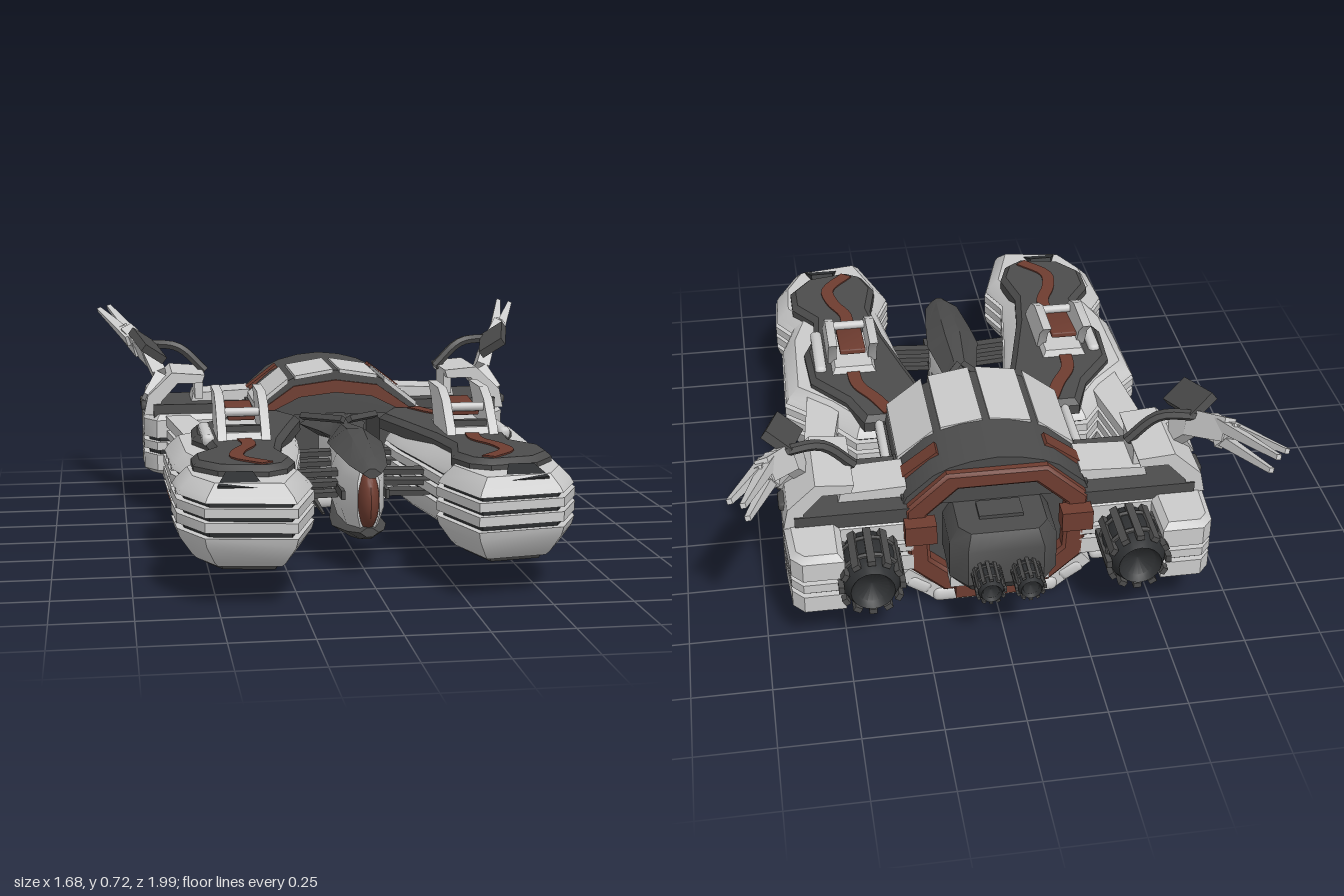
import * as THREE from 'three';
import { toCreasedNormals } from 'three/addons/utils/BufferGeometryUtils.js';
import { RoundedBoxGeometry } from 'three/addons/geometries/RoundedBoxGeometry.js';

const V = (x, y, z) => new THREE.Vector3(x, y, z);
const LIGHT = 0xcccccc, DARK = 0x4c4c4c, RUST = 0x6e3c30, BLACK = 0x2e3032;
const mats = {};
const mat = c => (mats[c] ??= new THREE.MeshStandardMaterial({ color: c, side: THREE.DoubleSide }));

// mirrored copy with corrected winding
function flipX(geo) {
  const g = geo.clone().scale(-1, 1, 1);
  for (const a of Object.values(g.attributes)) {
    const n = a.itemSize, s = a.array;
    for (let i = 0; i < a.count; i += 3) for (let k = 0; k < n; k++) {
      const p = (i + 1) * n + k, q = (i + 2) * n + k;
      [s[p], s[q]] = [s[q], s[p]];
    }
  }
  return g;
}

// closed skin through rings of points; tris closes both ends
function loft(rings, tris) {
  const pos = [], n = rings[0].length, put = (...p) => p.forEach(v => pos.push(v.x, v.y, v.z));
  for (let k = 0; k + 1 < rings.length; k++) for (let i = 0; i < n; i++) {
    const j = (i + 1) % n, [A, B, C, D] = [rings[k][i], rings[k][j], rings[k + 1][i], rings[k + 1][j]];
    put(A, C, B, B, C, D);
  }
  const first = rings[0], last = rings[rings.length - 1];
  tris.forEach(([a, b, c]) => { put(first[a], first[b], first[c]); put(last[a], last[c], last[b]); });
  const g = new THREE.BufferGeometry();
  g.setAttribute('position', new THREE.Float32BufferAttribute(pos, 3));
  return g;
}
function ccw(pts) {
  const p = pts.map(q => new THREE.Vector2(...q));
  return THREE.ShapeUtils.isClockWise(p) ? p.reverse() : p;
}
// plan outline [x, z] raised through levels [y, inset]
function plan(pts, levels) {
  const p = ccw(pts), n = p.length;
  const normal = (a, b) => new THREE.Vector2(b.y - a.y, a.x - b.x).normalize();
  const miter = p.map((q, i) => {
    const a = normal(p[(i + n - 1) % n], q), b = normal(q, p[(i + 1) % n]);
    return a.clone().add(b).divideScalar(1 + a.dot(b));
  });
  const rings = levels.map(([y, d]) => p.map((q, i) => V(q.x - miter[i].x * d, y, q.y - miter[i].y * d)));
  return loft(rings, THREE.ShapeUtils.triangulateShape(p, []));
}
// section [x, y] run from zFront back to zBack
function prism(pts, zFront, zBack) {
  const p = ccw(pts);
  return loft([zFront, zBack].map(z => p.map(q => V(q.x, q.y, z))), THREE.ShapeUtils.triangulateShape(p, []));
}
// six-sided hull through stations [z, half width, top, bottom], front to back
function hull(stations) {
  const rings = stations.map(([z, w, t, b]) => [[w * 0.3, b], [w, (t + b) / 2], [w * 0.3, t], [-w * 0.3, t], [-w, (t + b) / 2], [-w * 0.3, b]]
    .map(([x, y]) => V(x, y, z)));
  return loft(rings, [[0, 1, 2], [0, 2, 3], [0, 3, 5], [3, 4, 5]]);
}
const box = (w, h, d, x, y, z) => new THREE.BoxGeometry(w, h, d).translate(x, y, z);
const soft = (w, h, d, x, y, z, r = 0.015) => new RoundedBoxGeometry(w, h, d, 2, r).translate(x, y, z);
// tapering bar between two points
function beam(a, b, w, h, taper = 1) {
  const g = new THREE.CylinderGeometry(Math.SQRT1_2 * taper, Math.SQRT1_2, 1, 4).rotateY(Math.PI / 4);
  g.scale(w, a.distanceTo(b), h);
  const q = new THREE.Quaternion().setFromUnitVectors(V(0, 1, 0), b.clone().sub(a).normalize());
  return g.applyQuaternion(q).translate((a.x + b.x) / 2, (a.y + b.y) / 2, (a.z + b.z) / 2);
}
// flat stripe following plan points [x, z]
function stripe(pts, width, y0, y1) {
  const curve = new THREE.CatmullRomCurve3(pts.map(([x, z]) => V(x, 0, z))), L = [], R = [];
  for (let i = 0; i <= 16; i++) {
    const p = curve.getPoint(i / 16), t = curve.getTangent(i / 16).multiplyScalar(width / 2);
    L.push([p.x - t.z, p.z + t.x]); R.unshift([p.x + t.z, p.z - t.x]);
  }
  return plan([...L, ...R], [[y0, 0], [y1, 0]]);
}

export function createModel() {
  const root = new THREE.Group();
  const add = (name, geo, color = LIGHT, pair = false) => {
    const g = geo.index ? geo.toNonIndexed() : geo;
    (pair ? [g, flipX(g)] : [g]).forEach((q, i) => {
      const m = new THREE.Mesh(toCreasedNormals(q, 0.6), mat(color));
      m.name = pair ? (i ? 'right ' : 'left ') + name : name;
      root.add(m);
    });
  };
  const both = (name, geo, color) => add(name, geo, color, true);

  // side pods: light armour slabs around a dark core
  const pod = [[0.27, 0.995], [0.54, 0.95], [0.615, 0.8], [0.625, 0.63], [0.575, 0.55], [0.615, 0.42], [0.625, 0.08],
    [0.5, -0.04], [0.4, -0.18], [0.2, -0.18], [0.15, 0], [0.165, 0.16], [0.2, 0.38], [0.235, 0.63], [0.19, 0.74]];
  both('podCore', plan(pod, [[0.14, 0.05], [0.2, 0.022], [0.34, 0.022], [0.37, 0.05]]), BLACK);
  both('podKeel', plan(pod, [[0.115, 0.085], [0.14, 0.07]]), DARK);
  for (const slab of [[[0.13, 0.06], [0.145, 0.045], [0.2, 0.008], [0.228, 0]], [[0.245, 0], [0.275, 0]], [[0.29, 0], [0.318, 0]],
    [[0.332, 0.004], [0.35, 0.015], [0.385, 0.05]]]) both('podArmour', plan(pod, slab));
  for (const [x, z, d] of [[0.607, 0.71, 0.05], [0.605, 0.36, 0.03], [0.608, 0.26, 0.03], [0.61, 0.14, 0.05]])
    both('podRib', box(0.015, 0.12, d, x, 0.275, z));
  both('podSidePanel', plan([[0.56, 0.53], [0.582, 0.53], [0.612, 0.42], [0.62, 0.12], [0.58, 0.12]], [[0.158, 0.016], [0.2, 0.002]]), RUST);
  both('podNoseHatch', plan([[0.36, 0.94], [0.5, 0.92], [0.47, 0.84], [0.39, 0.84]], [[-0.005, 0], [0.012, 0]])
    .translate(0, 0, -0.89).rotateX(0.35).translate(0, 0.378, 0.89), BLACK);

  // dark pod decks with rust stripes
  const deck = [[0.28, 0.8], [0.34, 0.84], [0.49, 0.81], [0.56, 0.72], [0.56, 0.6], [0.49, 0.5], [0.5, 0.38], [0.54, 0.28],
    [0.53, 0.09], [0.42, -0.05], [0.37, -0.18], [0.2, -0.18], [0.14, -0.05], [0.19, 0.14], [0.25, 0.38], [0.275, 0.55], [0.245, 0.7]];
  both('podDeck', plan(deck, [[0.365, 0], [0.4, 0], [0.418, 0.02]]), DARK);
  both('podFrontStripe', stripe([[0.34, 0.8], [0.42, 0.7], [0.41, 0.6], [0.37, 0.5], [0.38, 0.36]], 0.045, 0.4, 0.423), RUST);
  both('podRearStripe', stripe([[0.38, 0.16], [0.37, 0.03], [0.32, -0.06], [0.28, -0.15]], 0.045, 0.4, 0.423), RUST);

  // swept intake on each pod: two fins with a rust panel between
  const fin = new THREE.Shape([[0.42, 0.41], [0.4, 0.44], [0.32, 0.52], [0.25, 0.552], [0.08, 0.552], [0.14, 0.5], [0.19, 0.41]]
    .map(([z, y]) => new THREE.Vector2(-z, y)));
  for (const x of [0.29, 0.432]) both('intakeFin',
    new THREE.ExtrudeGeometry(fin, { depth: 0.03, bevelEnabled: false }).rotateY(Math.PI / 2).translate(x, 0, 0));
  both('intakePanel', soft(0.09, 0.02, 0.18, 0, 0, 0, 0.006).rotateX(0.12).translate(0.376, 0.485, 0.215), RUST);
  both('intakeHousing', plan([[0.31, 0.39], [0.44, 0.39], [0.44, 0.12], [0.31, 0.12]], [[0.4, -0.02], [0.44, 0]]));
  both('intakeVisor', soft(0.13, 0.03, 0.03, 0.376, 0.495, 0.31));
  both('intakeSlot', box(0.11, 0.02, 0.03, 0.376, 0.45, 0.36), DARK);
  both('intakeRail', soft(0.04, 0.04, 0.26, 0.49, 0.415, 0.26));

  // links from pods to the stern
  both('podNeck', box(0.17, 0.22, 0.4, 0.235, 0.28, -0.3), DARK);
  both('podNeckRail', soft(0.03, 0.05, 0.3, 0.32, 0.38, -0.28));
  const link = [[0.43, 0.04], [0.545, 0.08], [0.6, -0.42], [0.515, -0.42]];
  both('linkCore', plan(link, [[0.18, 0.012], [0.35, 0.012]]), BLACK);
  for (const [a, b] of [[0.17, 0.228], [0.245, 0.275], [0.29, 0.318], [0.332, 0.37]])
    both('linkSlab', plan(link, [[a, 0], [b, 0]]));

  // central prow: dark upper and lower hulls around a light spindle
  add('prowTop', hull([[0.67, 0.03, 0.365, 0.335], [0.6, 0.06, 0.39, 0.335], [0.42, 0.082, 0.415, 0.335], [0.3, 0.092, 0.43, 0.335],
    [0.1, 0.055, 0.41, 0.33], [-0.02, 0.08, 0.405, 0.33], [-0.25, 0.12, 0.405, 0.3]]), DARK);
  add('prowBottom', hull([[0.62, 0.03, 0.165, 0.135], [0.54, 0.06, 0.165, 0.11], [0.4, 0.09, 0.165, 0.085], [0.3, 0.085, 0.17, 0.09],
    [0.1, 0.05, 0.18, 0.12], [-0.25, 0.08, 0.2, 0.13]]), DARK);
  const spindle = [[0.035, 0.6], [0.07, 0.48], [0.08, 0.32], [0.05, 0.1], [0.05, -0.25]];
  add('prowSpindle', plan([...spindle, ...spindle.map(([x, z]) => [-x, z]).reverse()], [[0.14, 0.02], [0.2, 0], [0.31, 0], [0.36, 0.02]]));
  both('spindleGroove', box(0.012, 0.03, 0.34, 0.072, 0.255, 0.37), DARK);
  add('prowNose', new THREE.SphereGeometry(1, 20, 12).scale(0.038, 0.1, 0.09).translate(0, 0.25, 0.565), RUST);
  for (const z of [0.42, 0.08]) for (const y of [0.235, 0.27, 0.305])
    both('prowStrut', beam(V(0.04, y, z - 0.02), V(0.23, y, z), 0.018, 0.04), DARK);
  both('prowBrace', beam(V(0.13, 0.41, -0.08), V(0.01, 0.425, 0.1), 0.02, 0.02), DARK);
  both('lowerBrace', beam(V(0.1, 0.06, -0.4), V(0.02, 0.14, -0.1), 0.02, 0.02), DARK);
  both('probe', beam(V(0.07, 0.075, -0.42), V(0.07, 0.082, 0.04), 0.022, 0.02, 0.4), DARK);

  // arched command section
  const rise = [[0.3, 0.4], [0.285, 0.435], [0.2, 0.51], [0.15, 0.534], [0.08, 0.552]];
  add('archRoof', prism([...rise, [0, 0.56], ...rise.map(([x, y]) => [-x, y]).reverse()], -0.16, -0.66), DARK);
  add('archFrontTrim', prism([[0.27, 0.42], [0.15, 0.505], [0, 0.525], [-0.15, 0.505], [-0.27, 0.42],
    [-0.22, 0.42], [-0.13, 0.465], [0, 0.48], [0.13, 0.465], [0.22, 0.42]], -0.15, -0.2), RUST);
  const pane = (a, b, t) => prism([a, b, [b[0], b[1] + t], [a[0], a[1] + t]], -0.14, -0.45);
  both('roofWindow', pane([0.012, 0.552], [0.148, 0.53], 0.014));
  both('sideWindow', pane([0.172, 0.518], [0.29, 0.425], 0.018));
  both('roofMarker', beam(V(0.17, 0.524, -0.54), V(0.28, 0.44, -0.54), 0.025, 0.06), RUST);
  add('coreHull', prism([[0.2, 0.09], [0.28, 0.16], [0.3, 0.42], [-0.3, 0.42], [-0.28, 0.16], [-0.2, 0.09]], -0.4, -0.64), DARK);

  // keel cradle
  add('keel', soft(0.42, 0.062, 0.29, 0, 0.033, -0.53, 0.025));
  both('keelArm', beam(V(0.19, 0.04, -0.53), V(0.3, 0.13, -0.53), 0.05, 0.27));
  both('keelFoot', soft(0.09, 0.055, 0.28, 0, 0, 0, 0.02).rotateZ(0.6).translate(0.25, 0.08, -0.53));

  // rust ring around the stern
  const ringPts = k => [[0.17, 0.07], [0.28, 0.17], [0.29, 0.4], [0.16, 0.52], [-0.16, 0.52], [-0.29, 0.4], [-0.28, 0.17], [-0.17, 0.07]]
    .map(([x, y]) => new THREE.Vector2(x * k, 0.3 + (y - 0.3) * k));
  const ring = new THREE.Shape(ringPts(0.98));
  ring.holes.push(new THREE.Path(ringPts(0.8)));
  add('sternRing', new THREE.ExtrudeGeometry(ring, { depth: 0.05, bevelSize: 0.01, bevelThickness: 0.01, bevelSegments: 1 })
    .translate(0, 0, -0.68), RUST);
  both('ringBlock', box(0.1, 0.07, 0.06, 0.25, 0.338, -0.71), RUST);
  add('ringFoot', box(0.28, 0.06, 0.05, 0, 0.1, -0.71), RUST);
  add('sternBlock', plan([[0.17, -0.62], [0.17, -0.8], [0.12, -0.86], [-0.12, -0.86], [-0.17, -0.8], [-0.17, -0.62]],
    [[0.17, 0.04], [0.22, 0], [0.35, 0], [0.4, 0.03]]), DARK);
  add('sternHatch', box(0.14, 0.02, 0.08, 0, 0.402, -0.72), DARK);
  add('sternSill', box(0.32, 0.04, 0.1, 0, 0.15, -0.7));

  // engine blocks
  const block = [[0.27, -0.37], [0.63, -0.37], [0.675, -0.44], [0.675, -0.66], [0.665, -0.81], [0.63, -0.85], [0.5, -0.85], [0.5, -0.69], [0.27, -0.69]];
  both('engineBlockCore', plan(block, [[0.16, 0.02], [0.36, 0.02]]), BLACK);
  for (const [a, b] of [[0.15, 0.228], [0.245, 0.275], [0.29, 0.375]])
    both('engineBlockSlab', plan(block, [[a, a < 0.2 ? 0.03 : 0], [a + 0.02, 0], [b - 0.02, 0], [b, b > 0.35 ? 0.02 : 0]]));
  both('engineRib', box(0.02, 0.2, 0.06, 0.667, 0.27, -0.6));
  both('engineBelly', soft(0.3, 0.04, 0.28, 0.46, 0.145, -0.54));
  both('blockDeck', box(0.36, 0.05, 0.29, 0.46, 0.385, -0.54), DARK);
  both('blockTopPlate', prism([[0.28, 0.4], [0.28, 0.45], [0.49, 0.44], [0.5, 0.4]], -0.47, -0.62));
  both('shoulder', prism([[0.46, 0.485], [0.45, 0.515], [0.57, 0.525], [0.66, 0.44], [0.675, 0.37], [0.62, 0.37], [0.61, 0.42], [0.55, 0.485]], -0.41, -0.68));
  both('shoulderPost', beam(V(0.47, 0.42, -0.53), V(0.47, 0.5, -0.53), 0.03, 0.14));
  for (const z of [-0.46, -0.57]) both('shoulderClamp', soft(0.03, 0.03, 0.08, 0.67, 0.4, z, 0.01), DARK);

  // ribbed thrusters
  const thruster = (name, x, y, z, r, len) => {
    const prof = [[0, 0], [0.75, 0], [0.95, 0.25], [1, 0.5], [0.92, 0.8], [0.7, 1], [0.55, 0.9], [0, 0.8]]
      .map(([a, b]) => new THREE.Vector2(a * r, b * len));
    both(name, new THREE.LatheGeometry(prof, 20).rotateX(-Math.PI / 2).translate(x, y, z), BLACK);
    for (let i = 0; i < 12; i++) both(name + 'Rib', box(r * 0.25, r * 0.18, len * 0.8, 0, r * 0.97, 0)
      .rotateZ(i * Math.PI / 6).translate(x, y, z - len * 0.52), DARK);
    for (const t of [0.3, 0.7]) both(name + 'Hoop', new THREE.TorusGeometry(r * 0.95, r * 0.1, 6, 20).translate(x, y, z - len * t), DARK);
  };
  thruster('mainThruster', 0.42, 0.265, -0.68, 0.098, 0.215);
  thruster('smallThruster', 0.062, 0.265, -0.845, 0.046, 0.115);

  // raked antenna arms
  const arm = [V(0.655, 0.42, -0.48), V(0.61, 0.5, -0.52), V(0.645, 0.57, -0.58), V(0.72, 0.635, -0.73)];
  for (let i = 0; i < 3; i++) both('antennaArm', beam(arm[i], arm[i + 1], 0.05, 0.085, 0.9));
  for (const [from, tip] of [[V(0.69, 0.62, -0.64), V(0.79, 0.712, -0.995)], [V(0.71, 0.62, -0.66), V(0.828, 0.705, -0.96)],
    [V(0.68, 0.58, -0.64), V(0.78, 0.65, -0.975)]]) both('antennaProng', beam(from, tip, 0.042, 0.04, 0.4));
  both('antennaBridge', beam(V(0.69, 0.58, -0.72), V(0.74, 0.66, -0.76), 0.03, 0.03));
  const brace = new THREE.CatmullRomCurve3([V(0.44, 0.51, -0.56), V(0.54, 0.6, -0.57), V(0.66, 0.61, -0.6)]);
  both('antennaBrace', new THREE.TubeGeometry(brace, 10, 0.018, 6), DARK);
  both('sensorPanel', box(0.1, 0.03, 0.18, 0, 0, 0).rotateZ(0.6).rotateX(0.25).rotateY(-0.25).translate(0.655, 0.615, -0.51), DARK);
  return root;
}
